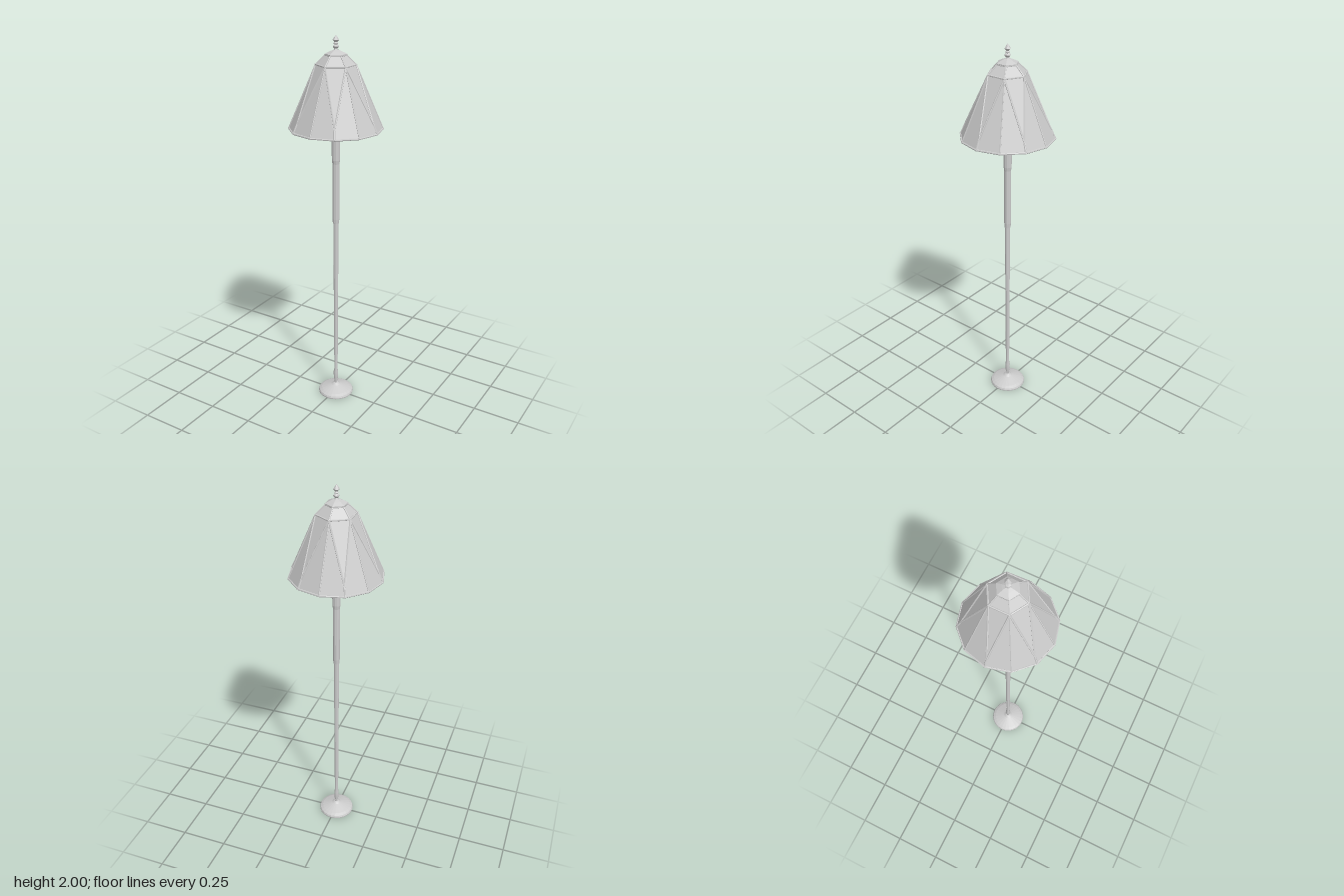
import * as THREE from 'three';

const material = new THREE.MeshStandardMaterial({ color: 0xcccccc, side: THREE.DoubleSide });
const facetedMaterial = new THREE.MeshStandardMaterial({ color: 0xcccccc, side: THREE.DoubleSide, flatShading: true });

// Point on a circle about the y axis; 0 degrees faces +z
const polar = (degrees, radius, y) => {
  const a = THREE.MathUtils.degToRad(degrees);
  return new THREE.Vector3(Math.sin(a) * radius, y, Math.cos(a) * radius);
};

function add(parent, name, geometry, mat = facetedMaterial) {
  const mesh = new THREE.Mesh(geometry, mat);
  mesh.name = name;
  parent.add(mesh);
  return mesh;
}

function lathe(parent, name, profile, sides, mat) {
  const points = profile.map(([r, y]) => new THREE.Vector2(r, y));
  return add(parent, name, new THREE.LatheGeometry(points, sides), mat);
}

// Thin bar between two points
function addRib(parent, name, from, to, radius = 0.005) {
  const direction = to.clone().sub(from);
  const rib = add(parent, name, new THREE.CylinderGeometry(radius, radius, direction.length() + radius, 6));
  rib.position.copy(from).add(to).multiplyScalar(0.5);
  rib.quaternion.setFromUnitVectors(new THREE.Vector3(0, 1, 0), direction.normalize());
}

function createShade() {
  const shade = new THREE.Group();
  shade.name = 'shade';
  const glass = [];
  const bars = new THREE.Group();
  bars.name = 'shadeFrame';

  for (let k = 0; k < 6; k++) {
    const a = k * 60, b = a + 60;
    const A = polar(a, 0.098, 1.86), B = polar(b, 0.098, 1.86);
    const C = polar(a, 0.235, 1.545), D = polar(b, 0.235, 1.545);
    const P = polar(a + 30, 0.235, 1.545);
    const T = polar(a, 0.052, 1.905), U = polar(b, 0.052, 1.905);
    // The triangular panel stops short of the rim
    const apex = P.clone().lerp(A.clone().add(B).multiplyScalar(0.5), 0.14);

    glass.push(A, apex, B, A, C, P, A, P, apex, B, apex, P, B, P, D);
    glass.push(A, B, U, A, U, T);

    addRib(bars, 'sideRib', A, C, 0.004);
    addRib(bars, 'panelRib', A, apex);
    addRib(bars, 'panelRib', B, apex);
    addRib(bars, 'lowerRib', apex, P);
    addRib(bars, 'shoulderRib', A, B);
    addRib(bars, 'crownRib', A, T, 0.004);
    addRib(bars, 'crownRing', T, U, 0.004);
    addRib(bars, 'rim', C, P);
    addRib(bars, 'rim', P, D);
  }

  const panels = new THREE.BufferGeometry().setFromPoints(glass);
  panels.computeVertexNormals();
  add(shade, 'shadePanels', panels);
  shade.add(bars);

  // Six-sided cap
  lathe(shade, 'cap', [[0, 1.903], [0.055, 1.905], [0.055, 1.911], [0.03, 1.923], [0.012, 1.93]], 6);
  // Six-sided finial
  lathe(shade, 'finial', [
    [0.012, 1.928], [0.008, 1.936], [0.015, 1.944], [0.015, 1.949], [0.007, 1.955],
    [0.013, 1.96], [0.007, 1.966], [0.016, 1.977], [0.009, 1.988], [0, 2],
  ], 6);
  return shade;
}

export function createModel() {
  const lamp = new THREE.Group();
  lamp.name = 'floorLamp';

  // Domed foot
  lathe(lamp, 'base', [
    [0, 0], [0.097, 0], [0.098, 0.006], [0.094, 0.015], [0.08, 0.023],
    [0.05, 0.034], [0.025, 0.043], [0.012, 0.052], [0, 0.054],
  ], 24);

  // Turned stem above the foot
  lathe(lamp, 'stem', [
    [0.008, 0.045], [0.007, 0.062], [0.012, 0.085], [0.013, 0.125], [0.009, 0.145],
    [0.008, 0.235],
  ], 12, material);

  // Pole sections growing thicker upwards
  lathe(lamp, 'lowerPole', [[0, 0.235], [0.011, 0.235], [0.012, 0.74], [0, 0.74]], 12, facetedMaterial);
  lathe(lamp, 'middlePole', [[0, 0.74], [0.013, 0.74], [0.014, 1.04], [0, 1.04]], 12, facetedMaterial);
  lathe(lamp, 'upperPole', [
    [0, 1.035], [0.016, 1.035], [0.018, 1.06], [0.018, 1.36], [0.021, 1.38],
    [0.022, 1.59], [0.011, 1.63], [0, 1.63],
  ], 12, facetedMaterial);

  // Socket and rod hidden in the shade
  lathe(lamp, 'socket', [[0.011, 1.63], [0.015, 1.645], [0.015, 1.69], [0.006, 1.705]], 12, facetedMaterial);
  const rod = add(lamp, 'shadeRod', new THREE.CylinderGeometry(0.006, 0.006, 0.21, 8));
  rod.position.y = 1.805;

  lamp.add(createShade());
  return lamp;
}
